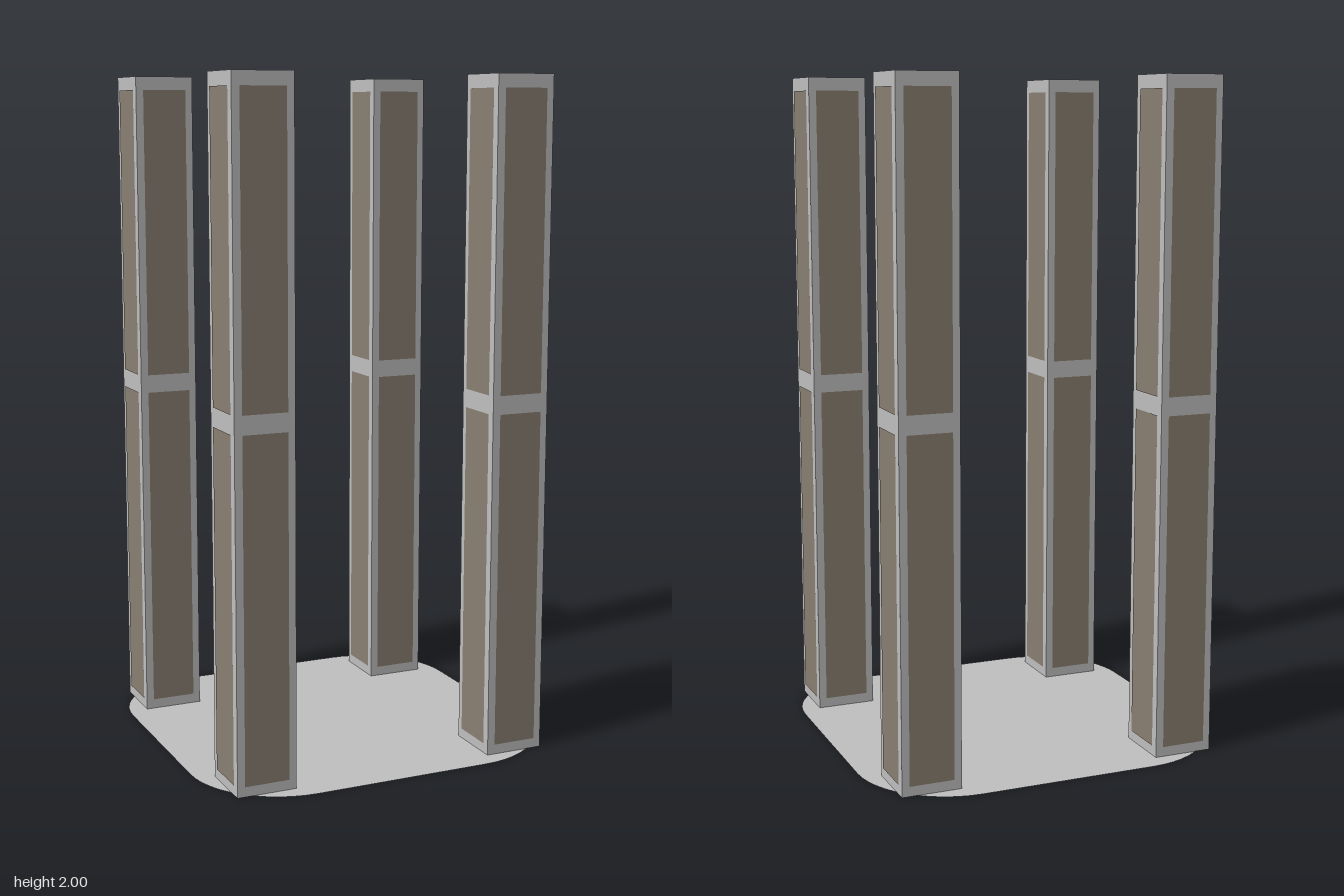
import * as THREE from 'three';

const grey = new THREE.MeshStandardMaterial({ color: 0xc0c0c0 });
grey.name = 'light grey frame';
grey.side = THREE.DoubleSide;
const brown = new THREE.MeshStandardMaterial({ color: 0x8a8072 });
brown.name = 'taupe panel';

// Flat base sheet with rounded corners
function makeBase() {
  const half = 0.55, radius = 0.28, c = half - radius;
  const shape = new THREE.Shape();
  shape.absarc(c, c, radius, 0, Math.PI / 2);
  shape.absarc(-c, c, radius, Math.PI / 2, Math.PI);
  shape.absarc(-c, -c, radius, Math.PI, Math.PI * 1.5);
  shape.absarc(c, -c, radius, Math.PI * 1.5, Math.PI * 2);
  const base = new THREE.Mesh(new THREE.ShapeGeometry(shape, 6).rotateX(-Math.PI / 2), grey);
  base.name = 'base';
  return base;
}

// Square pillar with a lower and an upper panel on each side
function makePillar(x, z) {
  const size = 0.18, height = 2;
  const pillar = new THREE.Group();
  pillar.name = 'pillar';
  const post = new THREE.Mesh(new THREE.BoxGeometry(size, height, size).translate(0, height / 2, 0), grey);
  post.name = 'post';
  pillar.add(post);

  for (let i = 0; i < 4; i++) {
    for (const [name, y0, y1] of [['lowerPanel', 0.03, 1.03], ['upperPanel', 1.085, 1.96]]) {
      const geometry = new THREE.PlaneGeometry(0.135, y1 - y0);
      geometry.translate(0, (y0 + y1) / 2, size / 2 + 0.002);
      const panel = new THREE.Mesh(geometry, brown);
      panel.name = name;
      panel.rotation.y = (i * Math.PI) / 2;
      pillar.add(panel);
    }
  }
  pillar.position.set(x, 0, z);
  return pillar;
}

export function createModel() {
  const model = new THREE.Group();
  model.name = 'fourPillars';
  model.add(makeBase());
  for (const x of [-0.4, 0.4]) for (const z of [-0.4, 0.4]) model.add(makePillar(x, z));
  return model;
}
